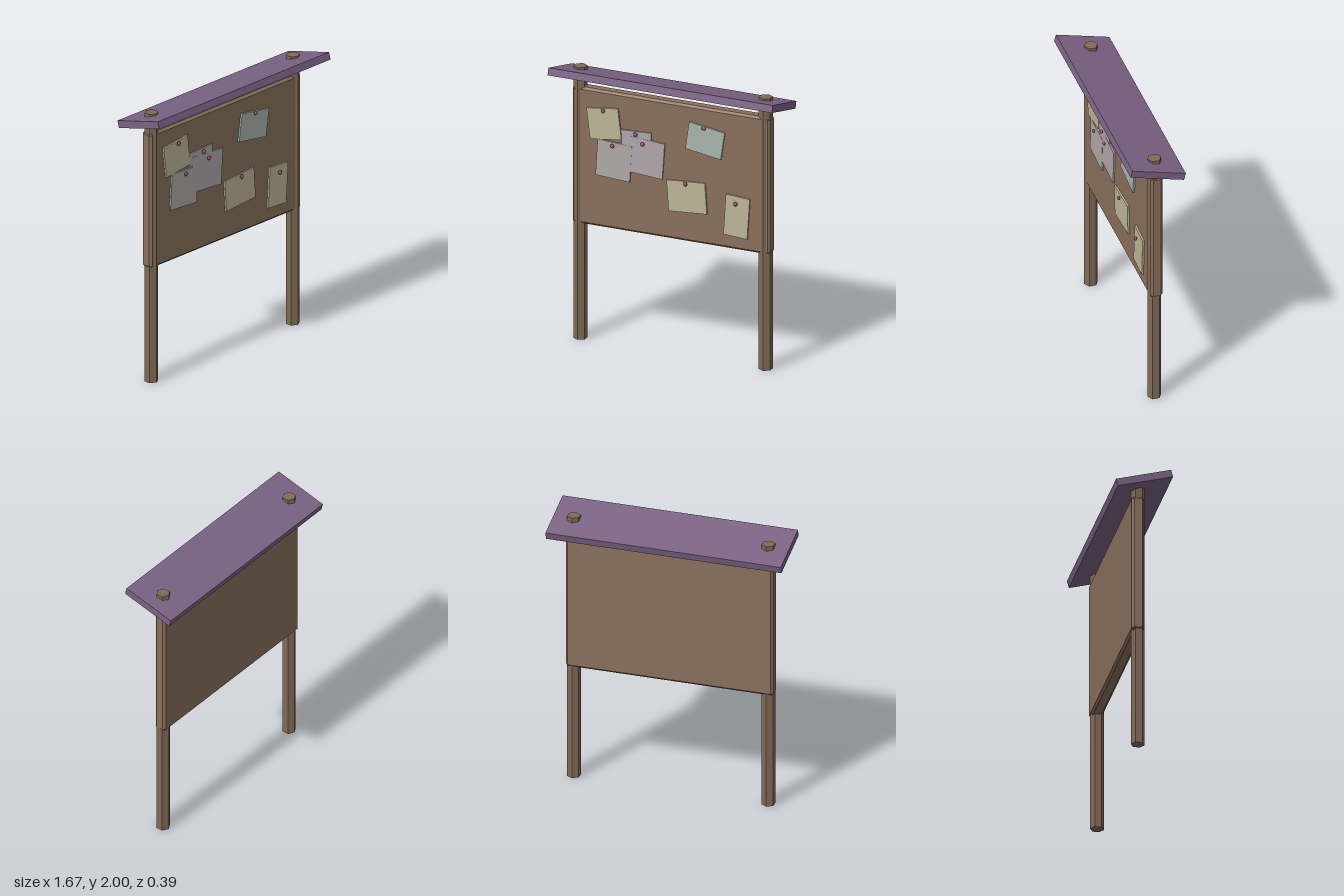
import * as THREE from 'three';
import { ConvexGeometry } from 'three/addons/geometries/ConvexGeometry.js';

const material = (color) => new THREE.MeshStandardMaterial({ color, flatShading: true });

// Box with every edge cut by a flat chamfer c
function chamferBox(w, h, d, c) {
  const points = [];
  for (const x of [-1, 1]) for (const y of [-1, 1]) for (const z of [-1, 1]) {
    for (let face = 0; face < 3; face++) {
      points.push(new THREE.Vector3(
        x * (w / 2 - (face === 0 ? 0 : c)),
        y * (h / 2 - (face === 1 ? 0 : c)),
        z * (d / 2 - (face === 2 ? 0 : c))));
    }
  }
  return new ConvexGeometry(points);
}

export function createModel() {
  const model = new THREE.Group();
  model.name = 'noticeBoard';
  const add = (name, geometry, mat, x, y, z) => {
    const mesh = new THREE.Mesh(geometry, mat);
    mesh.name = name;
    mesh.position.set(x, y, z);
    model.add(mesh);
    return mesh;
  };

  // Hexagonal posts, poking through the roof
  const wood = material(0x806a56);
  const postGeometry = new THREE.CylinderGeometry(0.048, 0.048, 1.97, 6);
  add('leftPost', postGeometry, wood, 0.69, 0.985, -0.018);
  add('rightPost', postGeometry, wood, -0.69, 0.985, -0.018);

  // Chamfered board
  add('board', chamferBox(1.474, 0.99, 0.086, 0.016), material(0x8a705c), 0, 1.335, -0.023);

  // Roof plank, raised at the front
  const roof = add('roof', new THREE.BoxGeometry(1.67, 0.052, 0.392), material(0x7a6284), 0, 1.925, 0);
  roof.rotation.x = -THREE.MathUtils.degToRad(15);

  // Notes: x, y, width, height, tilt in degrees, colour, pin x, pin y
  const yellow = 0xbdb797, blue = 0xa6b5ab, lilac = 0xb1a6ac, grey = 0xb0aaa5;
  const notes = [
    [-0.25, 1.47, 0.222, 0.22, 2, lilac, -0.25, 1.565],
    [-0.198, 1.403, 0.297, 0.26, -4, lilac, -0.198, 1.502],
    [-0.42, 1.342, 0.255, 0.262, -3.5, grey, -0.422, 1.453],
    [-0.492, 1.597, 0.235, 0.223, 7, yellow, -0.492, 1.697],
    [0.26, 1.597, 0.267, 0.2, -8.5, blue, 0.258, 1.692],
    [0.124, 1.167, 0.286, 0.223, 4, yellow, 0.122, 1.267],
    [0.495, 1.085, 0.177, 0.293, -3.7, yellow, 0.495, 1.183],
  ];
  const pinMaterial = new THREE.MeshStandardMaterial({ color: 0x98535d });
  const pinGeometry = new THREE.SphereGeometry(0.015, 12, 8).scale(1, 1, 0.65);
  notes.forEach(([x, y, w, h, tilt, color, pinX, pinY], i) => {
    const depth = 0.01 + Math.min(i, 3) * 0.001;
    const note = add('note' + (i + 1), new THREE.BoxGeometry(w, h, depth), material(color), x, y, 0.02 + depth / 2);
    note.rotation.z = THREE.MathUtils.degToRad(tilt);
    add('pin' + (i + 1), pinGeometry, pinMaterial, pinX, pinY, 0.05);
  });

  return model;
}
